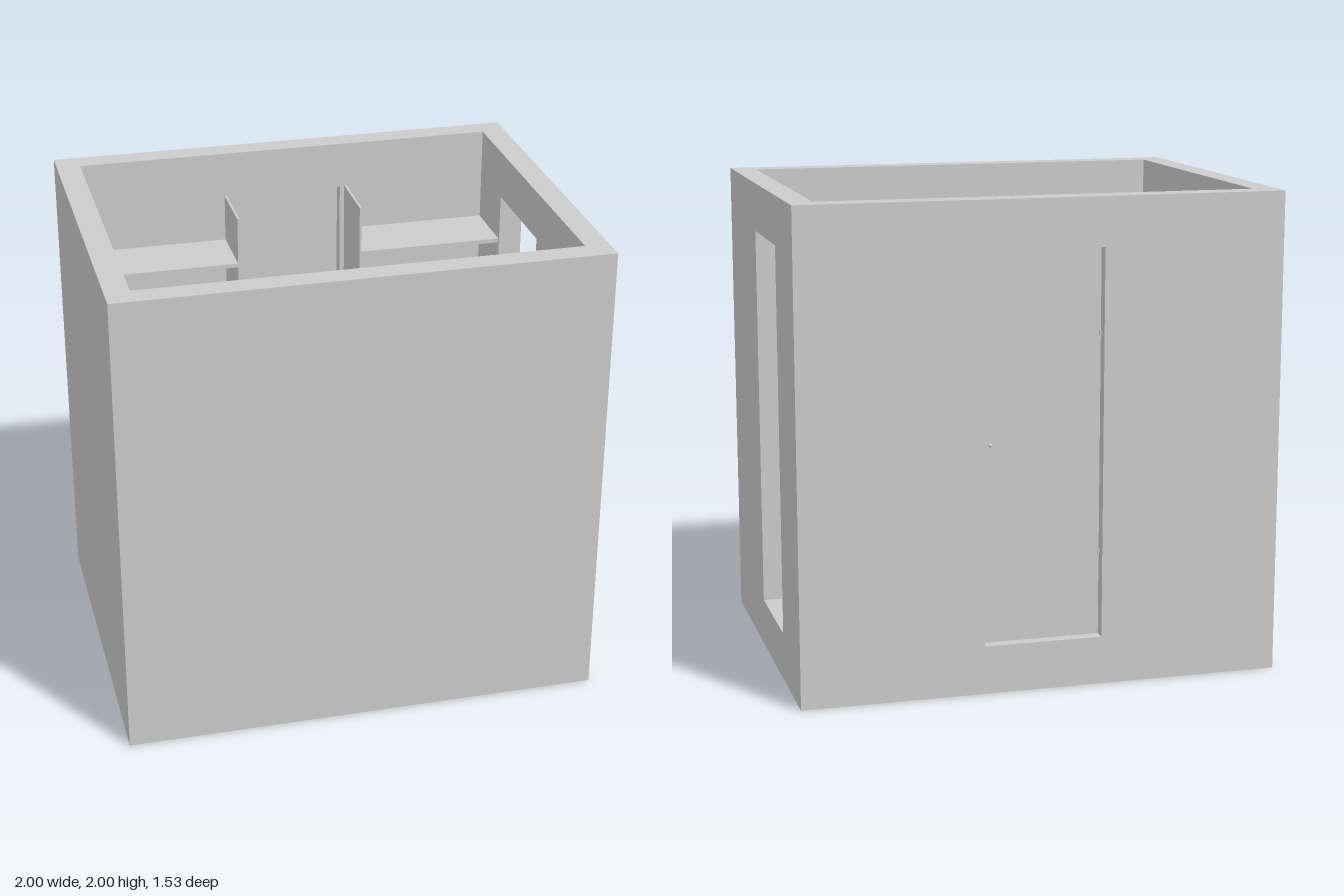
import * as THREE from 'three';

const mat = new THREE.MeshStandardMaterial({ color: 0xcccccc });

// Room extents: outer half sizes, inner half sizes, floor level
const OX = 1, OZ = 0.765, IX = 0.9, IZ = 0.665, H = 2, FLOOR = 0.2;

function add(parent, name, geometry) {
  const mesh = new THREE.Mesh(geometry, mat);
  mesh.name = name;
  parent.add(mesh);
  return mesh;
}

// Box given by its min and max on each axis
function box(parent, name, x0, x1, y0, y1, z0, z1) {
  const g = new THREE.BoxGeometry(x1 - x0, y1 - y0, z1 - z0);
  g.translate((x0 + x1) / 2, (y0 + y1) / 2, (z0 + z1) / 2);
  return add(parent, name, g);
}

// Wall panel with a rectangular opening, extruded along +z
function wallWithOpening(halfWidth, u0, u1, v0, v1, depth) {
  const shape = new THREE.Shape([
    new THREE.Vector2(-halfWidth, 0), new THREE.Vector2(halfWidth, 0),
    new THREE.Vector2(halfWidth, H), new THREE.Vector2(-halfWidth, H),
  ]);
  shape.holes.push(new THREE.Path([
    new THREE.Vector2(u0, v0), new THREE.Vector2(u0, v1),
    new THREE.Vector2(u1, v1), new THREE.Vector2(u1, v0),
  ]));
  return new THREE.ExtrudeGeometry(shape, { depth, bevelEnabled: false });
}

function buildShell() {
  const shell = new THREE.Group();
  shell.name = 'roomShell';
  box(shell, 'floor', -IX, IX, 0, FLOOR, -IZ, IZ);
  box(shell, 'frontWall', -OX, OX, 0, H, IZ, OZ);
  box(shell, 'rightWall', -OX, -IX, 0, H, -IZ, IZ);
  // Back wall holds the closed door
  add(shell, 'backWall', wallWithOpening(OX, -0.245, 0.245, FLOOR, 1.8, OZ - IZ)).position.z = -OZ;
  // Left wall has an open doorway; local u runs along -z
  const left = add(shell, 'leftWall', wallWithOpening(IZ, -0.105, 0.38, FLOOR, 1.8, OX - IX));
  left.rotation.y = Math.PI / 2;
  left.position.x = IX;
  return shell;
}

function buildDoor() {
  const door = new THREE.Group();
  door.name = 'door';
  box(door, 'doorLeaf', -0.243, 0.243, FLOOR + 0.002, 1.798, -0.723, -0.71);
  for (const z of [-0.729, -0.704]) {
    const knob = add(door, 'doorKnob', new THREE.SphereGeometry(0.008, 12, 8));
    knob.position.set(0.215, 1.02, z);
  }
  for (const y of [0.55, 1.45]) {
    const hinge = add(door, 'doorHinge', new THREE.CylinderGeometry(0.005, 0.005, 0.02, 10));
    hinge.position.set(-0.24, y, -0.725);
  }
  return door;
}

// Shelf and drawer unit beside the door; s mirrors it across x
function buildShelfUnit(s) {
  const unit = new THREE.Group();
  unit.name = s > 0 ? 'leftShelfUnit' : 'rightShelfUnit';
  const zFront = -0.39;
  const part = (name, a, b, y0, y1, z0, z1) =>
    box(unit, name, Math.min(s * a, s * b), Math.max(s * a, s * b), y0, y1, z0, z1);

  part('sidePanel', 0.265, 0.275, FLOOR, 1.805, -IZ, zFront);
  for (let i = 0; i < 5; i++) {
    const top = 0.743 + i * 0.214;
    part('shelf', 0.275, IX, top - 0.018, top, -IZ, zFront);
  }
  // Drawers with U-shaped pulls, leaving an open space beneath
  for (let i = 0; i < 3; i++) {
    const y = 0.4 + i * 0.1083;
    part('drawer', 0.275, IX, y, y + 0.1083, -IZ, zFront);
    const h = 0.45 + i * 0.105;
    part('handleBar', 0.54, 0.62, h - 0.006, h + 0.006, -0.37, -0.358);
    part('handleLeg', 0.54, 0.552, h - 0.006, h + 0.006, zFront, -0.37);
    part('handleLeg', 0.608, 0.62, h - 0.006, h + 0.006, zFront, -0.37);
  }
  return unit;
}

// Full-width hanging space along the front wall
function buildHangingSpace() {
  const space = new THREE.Group();
  space.name = 'hangingSpace';
  box(space, 'topShelf', -IX, IX, 1.53, 1.542, 0.247, IZ);
  box(space, 'divider', -0.006, 0.006, FLOOR, 1.53, 0.247, IZ);
  for (const s of [-1, 1]) {
    for (const y of [0.77, 1.47]) {
      const rod = add(space, 'hangingRod', new THREE.CylinderGeometry(0.011, 0.011, IX - 0.006, 16));
      rod.rotation.z = Math.PI / 2;
      rod.position.set(s * (IX + 0.006) / 2, y, 0.457);
    }
  }
  return space;
}

export function createModel() {
  const model = new THREE.Group();
  model.name = 'walkInWardrobe';
  model.add(buildShell(), buildDoor(), buildShelfUnit(1), buildShelfUnit(-1), buildHangingSpace());
  return model;
}
